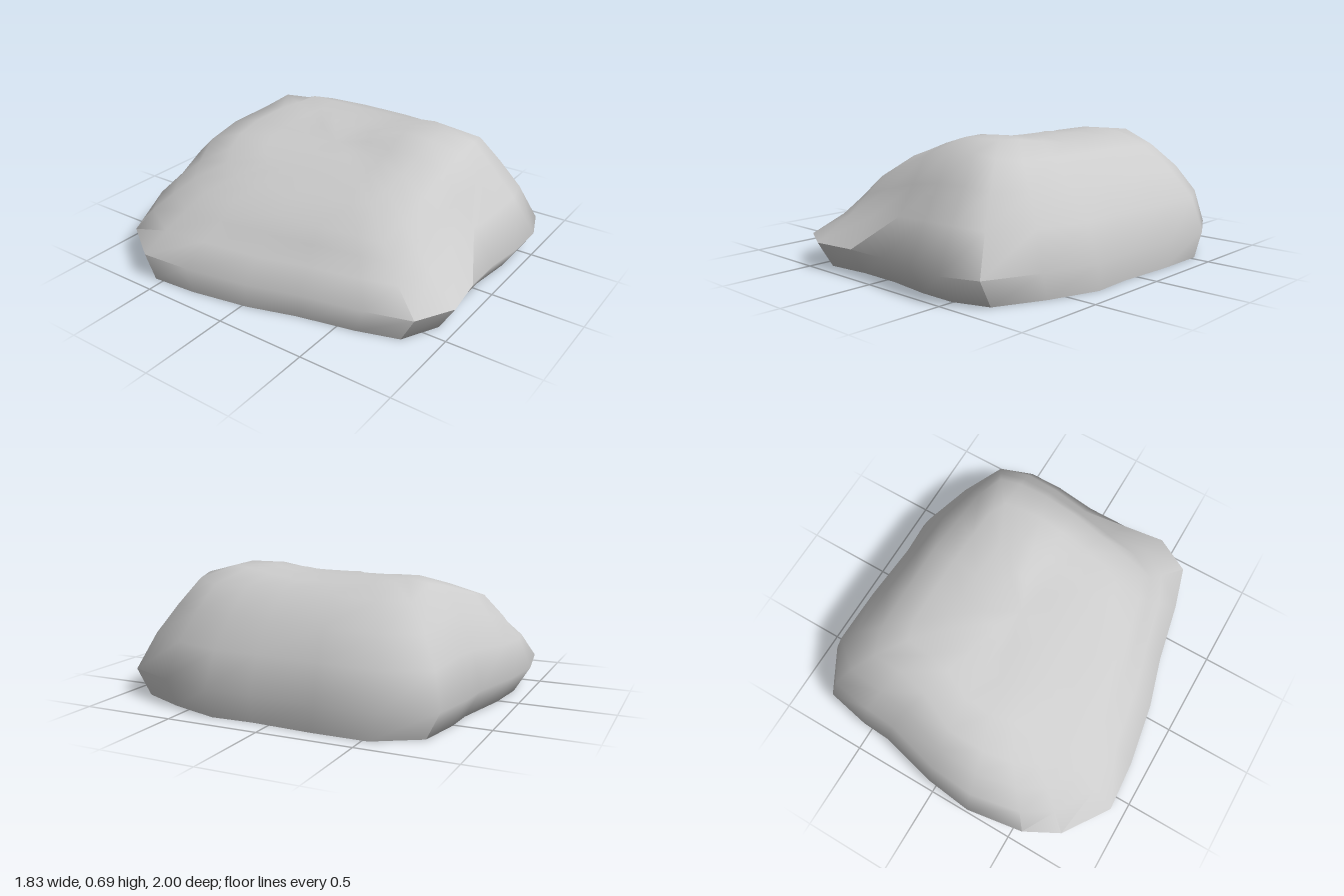
import * as THREE from 'three';
import { toCreasedNormals } from 'three/addons/utils/BufferGeometryUtils.js';

// Each row: widest outline x, z, then the shoulder point x, z, y above it.
const RIM = [
  [-0.24, -1, -0.2, -0.74, 0.53], [0.02, -0.97, 0, -0.74, 0.57],
  [0.35, -0.89, 0.2, -0.65, 0.63], [0.52, -0.88, 0.36, -0.62, 0.66],
  [0.77, -0.83, 0.55, -0.6, 0.59], [0.91, -0.58, 0.6, -0.45, 0.6],
  [0.91, -0.26, 0.6, -0.2, 0.61], [0.89, 0.1, 0.6, 0.08, 0.61],
  [0.9, 0.35, 0.58, 0.3, 0.61], [0.81, 0.65, 0.56, 0.5, 0.61],
  [0.69, 0.93, 0.5, 0.63, 0.63], [0.5, 1, 0.38, 0.65, 0.65],
  [0.3, 1, 0.22, 0.66, 0.64], [0.06, 0.97, 0.04, 0.66, 0.6],
  [-0.18, 0.97, -0.15, 0.65, 0.53], [-0.42, 1, -0.32, 0.64, 0.46],
  [-0.62, 0.89, -0.45, 0.6, 0.39], [-0.69, 0.65, -0.5, 0.48, 0.41],
  [-0.76, 0.31, -0.54, 0.27, 0.42], [-0.84, 0.03, -0.57, 0.03, 0.42],
  [-0.9, -0.32, -0.58, -0.25, 0.42], [-0.92, -0.6, -0.57, -0.47, 0.4],
  [-0.75, -0.85, -0.48, -0.63, 0.41], [-0.56, -0.95, -0.36, -0.7, 0.45],
];

// Height of the sloping top, read along x, a little lower toward the back.
const SLOPE = [[-0.57, 0.42], [-0.27, 0.55], [0, 0.64], [0.12, 0.695], [0.42, 0.695], [0.6, 0.61]];
function topHeight(x, z) {
  let i = 0;
  while (i < SLOPE.length - 2 && x > SLOPE[i + 1][0]) i++;
  const [x0, y0] = SLOPE[i], [x1, y1] = SLOPE[i + 1];
  const drop = 0.028 * THREE.MathUtils.smoothstep(-z, -0.35, -0.1);
  return y0 + (y1 - y0) * (x - x0) / (x1 - x0) - drop * THREE.MathUtils.smoothstep(x, -0.2, 0.12);
}

function rockGeometry() {
  const n = RIM.length, rings = [];
  // undercut base and widest line
  rings.push(RIM.map(([x, z]) => [x * 0.985, 0, z * 0.915]));
  // flanks: fuller on the right and back, straighter on the left and front
  for (const t of [0, 0.4, 0.72, 1]) {
    rings.push(RIM.map(([x, z, sx, sz, sy]) => {
      const wide = 0.14, h = Math.pow(t, 1.3 + 0.4 * x - 0.35 * z);
      return [x + (sx - x) * h, wide + (sy - wide) * t, z + (sz - z) * h];
    }));
  }
  // top surface
  for (const s of [0.76, 0.5, 0.25]) {
    rings.push(RIM.map(([, , sx, sz]) => [sx * s, topHeight(sx * s, sz * s), sz * s]));
  }

  const position = rings.flat(2), index = [];
  const bottom = rings.length * n, top = bottom + 1, last = (rings.length - 1) * n;
  position.push(0, 0, 0, 0, topHeight(0, 0), 0);
  for (let i = 0; i < n; i++) {
    const j = (i + 1) % n;
    for (let k = 0; k < rings.length - 1; k++) {
      const a = k * n + i, b = k * n + j;
      index.push(a, a + n, b, b, a + n, b + n);
    }
    index.push(bottom, i, j, top, last + j, last + i);
  }
  const geometry = new THREE.BufferGeometry();
  geometry.setAttribute('position', new THREE.Float32BufferAttribute(position, 3));
  geometry.setIndex(index);
  return toCreasedNormals(geometry, 1.15);
}

export function createModel() {
  const group = new THREE.Group();
  group.name = 'boulder';
  const rock = new THREE.Mesh(rockGeometry(), new THREE.MeshStandardMaterial({ color: 0xcccccc }));
  rock.name = 'rock';
  group.add(rock);
  return group;
}
